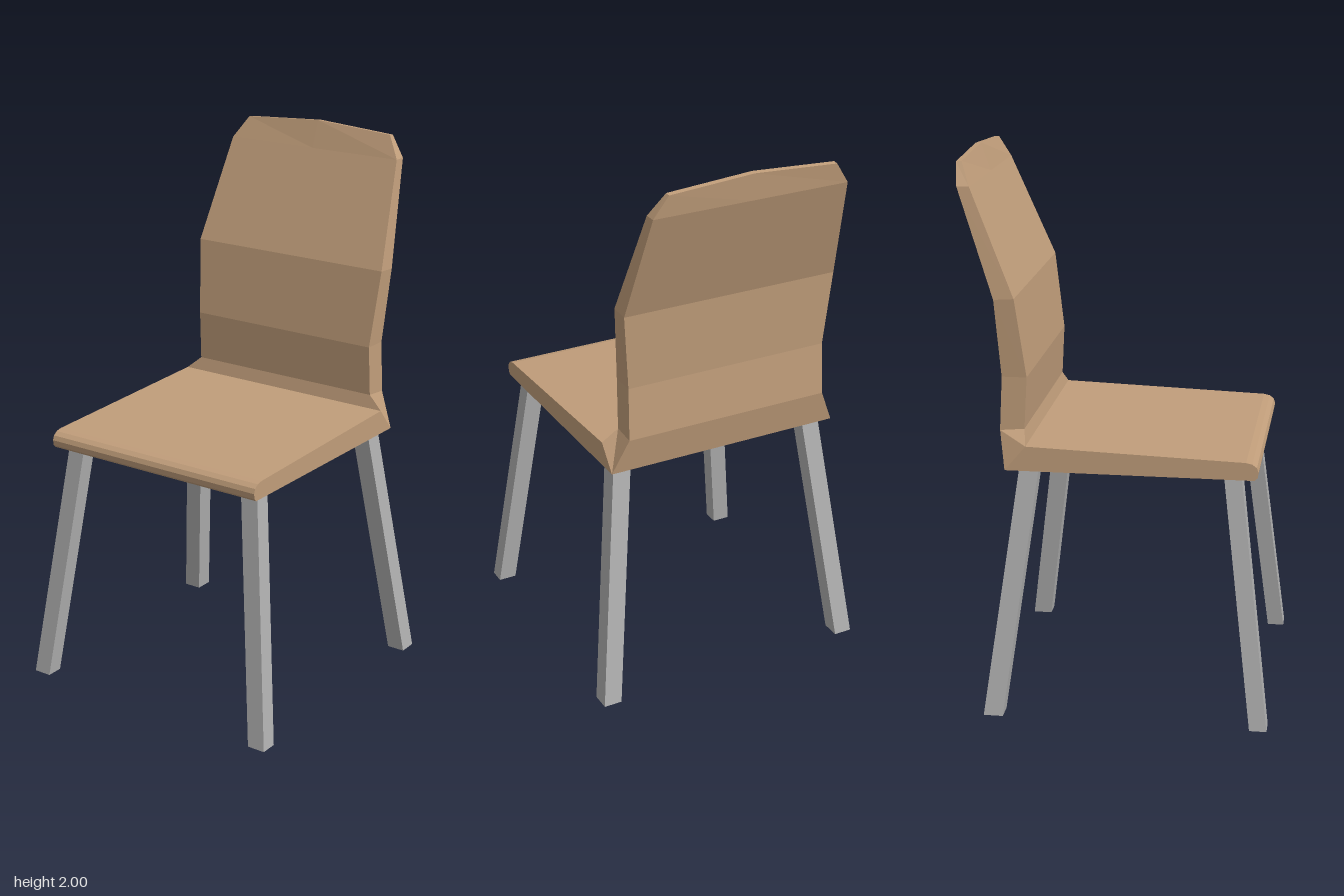
import * as THREE from 'three';

// Seat and backrest sections, from the front lip to the top:
// half width, front/top z and y, back/bottom z and y, extra height at the middle
const SECTIONS = [
  [0.447, 0.51, 0.94, 0.507, 0.92, 0],
  [0.447, 0.504, 0.957, 0.497, 0.91, 0],
  [0.447, 0.488, 0.969, 0.488, 0.91, 0],
  [0.447, 0.466, 0.974, 0.466, 0.91, 0],
  [0.447, -0.31, 1.0, -0.386, 0.91, 0],
  [0.39, -0.323, 1.048, -0.411, 1.04, 0],
  [0.387, -0.313, 1.235, -0.402, 1.235, 0],
  [0.41, -0.35, 1.52, -0.422, 1.515, 0],
  [0.367, -0.508, 1.9, -0.552, 1.9, 0],
  [0.315, -0.543, 1.98, -0.563, 1.978, 0.02],
];

// Joins six-point rings into one closed shell with flat faces
function shellGeometry() {
  const rings = SECTIONS.map(([w, zf, yf, zb, yb, rise]) => [
    [w, yf, zf], [0, yf + rise, zf], [-w, yf, zf],
    [-w, yb, zb], [0, yb + rise, zb], [w, yb, zb],
  ]);
  const pos = [];
  const quad = (a, b, c, d) => pos.push(...a, ...b, ...c, ...a, ...c, ...d);
  for (let i = 0; i < rings.length - 1; i++) {
    const p = rings[i], q = rings[i + 1];
    for (let k = 0; k < 6; k++) {
      const n = (k + 1) % 6;
      quad(p[k], q[k], q[n], p[n]);
    }
  }
  // End faces: front lip and top edge
  const f = rings[0], t = rings[rings.length - 1];
  quad(f[0], f[1], f[4], f[5]);
  quad(f[1], f[2], f[3], f[4]);
  quad(t[5], t[4], t[1], t[0]);
  quad(t[4], t[3], t[2], t[1]);
  const geo = new THREE.BufferGeometry();
  geo.setAttribute('position', new THREE.Float32BufferAttribute(pos, 3));
  geo.computeVertexNormals();
  return geo;
}

// Square leg, sheared so that it splays while its ends stay level
function legGeometry(top, foot, depth) {
  const h = 0.912;
  const geo = new THREE.BoxGeometry(0.068, h, depth).translate(0, h / 2, 0);
  const p = geo.attributes.position;
  for (let i = 0; i < p.count; i++) {
    const u = p.getY(i) / h;
    p.setX(i, p.getX(i) + THREE.MathUtils.lerp(foot[0], top[0], u));
    p.setZ(i, p.getZ(i) + THREE.MathUtils.lerp(foot[1], top[1], u));
  }
  geo.computeVertexNormals();
  return geo;
}

export function createModel() {
  const wood = new THREE.MeshStandardMaterial({ color: 0xc09d7a });
  wood.name = 'wood';
  const metal = new THREE.MeshStandardMaterial({ color: 0xb0b0b0 });
  metal.name = 'grey metal';

  const chair = new THREE.Group();
  chair.name = 'chair';
  const add = (name, geo, mat) => {
    const mesh = new THREE.Mesh(geo, mat);
    mesh.name = name;
    chair.add(mesh);
  };

  add('seatAndBackrest', shellGeometry(), wood);

  // Four splayed legs
  for (const [side, s] of [['Left', 1], ['Right', -1]]) {
    add('front' + side + 'Leg', legGeometry([s * 0.384, 0.419], [s * 0.495, 0.531], 0.062), metal);
    add('rear' + side + 'Leg', legGeometry([s * 0.384, -0.304], [s * 0.495, -0.428], 0.07), metal);
  }
  return chair;
}
